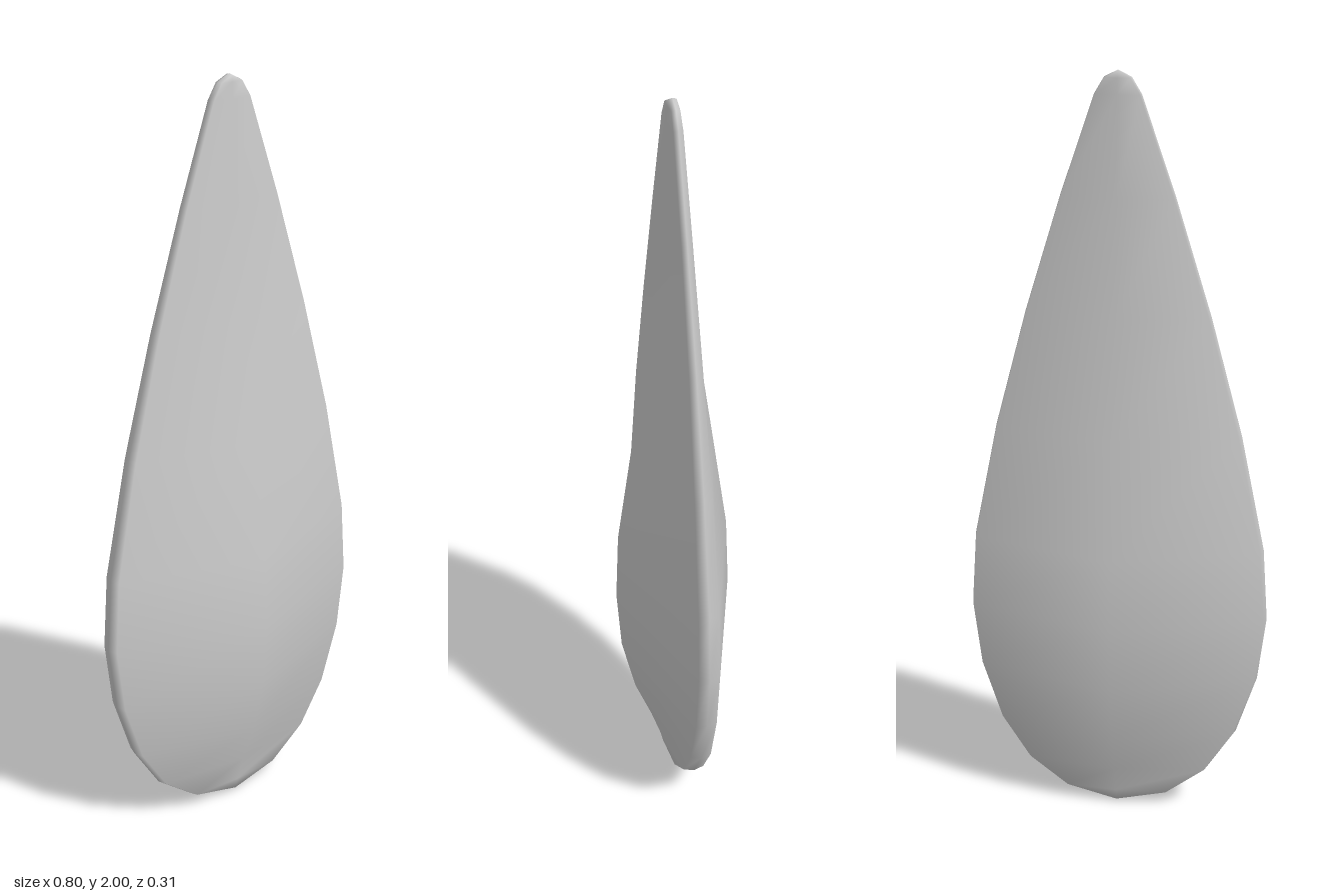
import * as THREE from 'three';
import { mergeVertices } from 'three/addons/utils/BufferGeometryUtils.js';

// Blade stations, bottom to top: [y, half width, ridge depth, rim half thickness]
const STATIONS = [
  [0.007, 0, 0.028, 0.028],
  [0.04, 0.137, 0.036, 0.028],
  [0.12, 0.242, 0.062, 0.028],
  [0.238, 0.318, 0.108, 0.028],
  [0.4, 0.371, 0.145, 0.028],
  [0.575, 0.392, 0.157, 0.028],
  [0.77, 0.379, 0.149, 0.027],
  [1.08, 0.316, 0.104, 0.023],
  [1.39, 0.234, 0.058, 0.018],
  [1.69, 0.142, 0.034, 0.014],
  [1.94, 0.056, 0.014, 0.012],
  [1.98, 0.032, 0.012, 0.011],
  [1.996, 0, 0.010, 0.010],
];

// Diamond cross-sections with a ridge on each face and a slightly bulged rim
function bladeGeometry() {
  const positions = [], index = [], sides = 8, last = STATIONS.length - 1;
  STATIONS.forEach(([y, w, ridge, rim], i) => {
    // outward direction of the outline, used to push out the middle of the rim
    let n = new THREE.Vector2(0, i === 0 ? -1 : 1);
    if (i > 0 && i < last) {
      const [y0, w0] = STATIONS[i - 1], [y1, w1] = STATIONS[i + 1];
      n = new THREE.Vector2(y1 - y0, w0 - w1).normalize();
    }
    const bulge = 0.25 * rim;
    const bx = w + n.x * bulge;
    const by = THREE.MathUtils.clamp(y + n.y * bulge, 0, 2);
    positions.push(
      0, y, ridge, w, y, rim, bx, by, 0, w, y, -rim,
      0, y, -ridge, -w, y, -rim, -bx, by, 0, -w, y, rim,
    );
    if (i === last) return;
    for (let j = 0; j < sides; j++) {
      const a = i * sides + j, b = i * sides + (j + 1) % sides;
      index.push(a, b, b + sides, a, b + sides, a + sides);
    }
  });
  const geometry = new THREE.BufferGeometry();
  geometry.setAttribute('position', new THREE.Float32BufferAttribute(positions, 3));
  geometry.setIndex(index);
  // weld the collapsed ends so shading stays smooth
  const welded = mergeVertices(geometry, 1e-5);
  welded.computeVertexNormals();
  return welded;
}

export function createModel() {
  const group = new THREE.Group();
  const blade = new THREE.Mesh(
    bladeGeometry(),
    new THREE.MeshStandardMaterial({ color: 0xcccccc }),
  );
  blade.name = 'blade';
  group.add(blade);
  return group;
}
